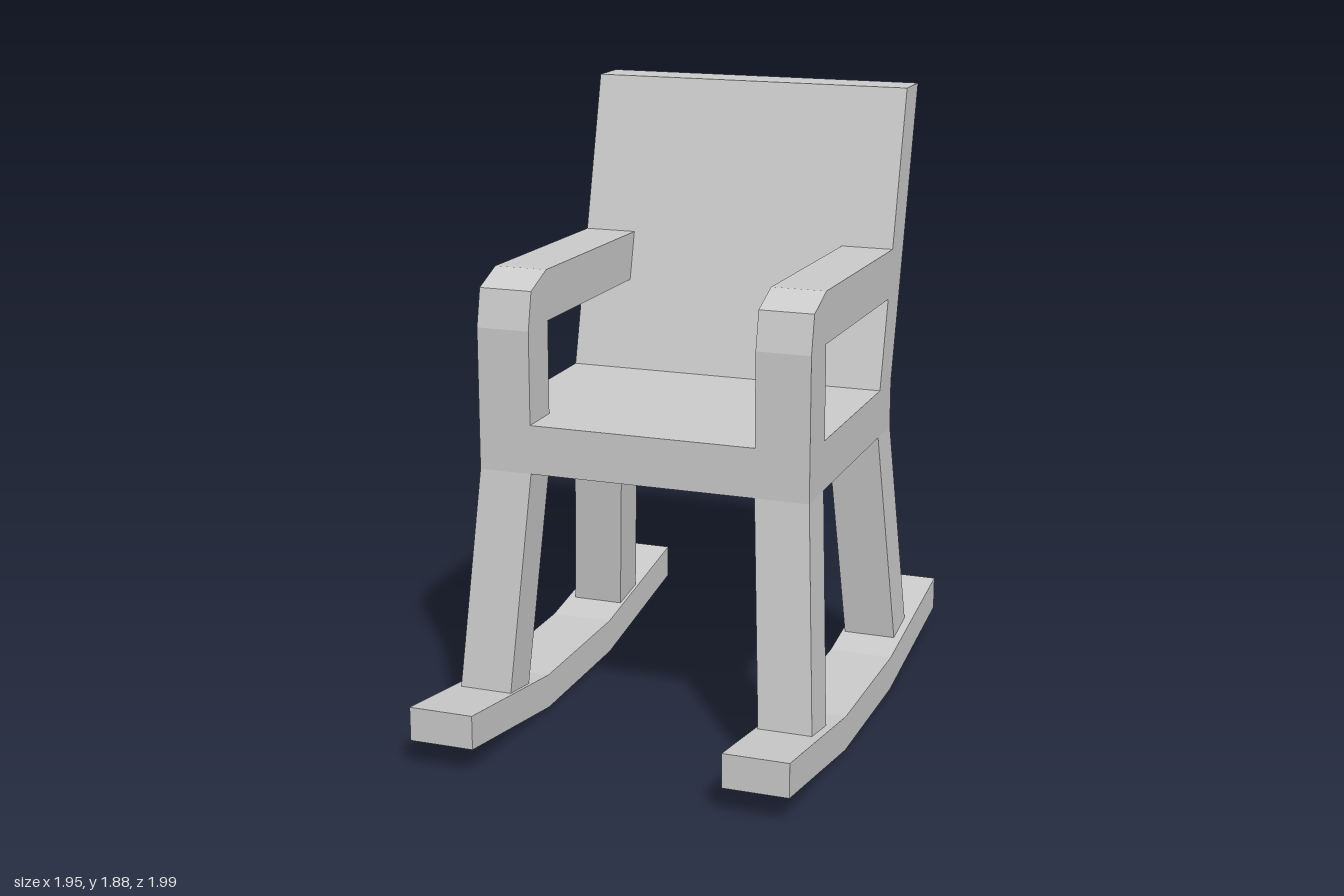
import * as THREE from 'three';

const painted = new THREE.MeshStandardMaterial({ color: 0xcccccc, flatShading: true });
painted.name = 'pale grey';

// Extrudes a side profile of [z, y] points to the given width, centred on x
function slab(name, points, width, x = 0) {
  const shape = new THREE.Shape(points.map(([z, y]) => new THREE.Vector2(z, y)));
  const geometry = new THREE.ExtrudeGeometry(shape, { depth: width, bevelEnabled: false });
  geometry.translate(0, 0, -width / 2).rotateY(-Math.PI / 2).translate(x, 0, 0);
  const mesh = new THREE.Mesh(geometry, painted);
  mesh.name = name;
  return mesh;
}

// Square leg whose foot is shifted outwards and away from the seat centre
function leg(name, side, end) {
  const top = 0.82, foot = 0.12;
  const geometry = new THREE.BoxGeometry(0.165, top - foot, 0.14);
  const p = geometry.attributes.position;
  for (let i = 0; i < p.count; i++) {
    const low = p.getY(i) < 0 ? 1 : 0;
    p.setXYZ(i,
      p.getX(i) + side * (0.4325 + 0.045 * low),
      low ? foot : top,
      p.getZ(i) + end * (0.365 + 0.087 * low));
  }
  geometry.computeVertexNormals();
  const mesh = new THREE.Mesh(geometry, painted);
  mesh.name = name;
  return mesh;
}

export function createModel() {
  const chair = new THREE.Group();
  chair.name = 'rockingChair';

  // Seat and leaning backrest
  chair.add(slab('seat', [[-0.435, 0.82], [0.435, 0.82], [0.435, 0.97], [-0.435, 0.97]], 1.03));
  chair.add(slab('backrest', [[-0.435, 0.97], [-0.305, 0.97], [-0.548, 1.885], [-0.682, 1.885]], 1.03));

  for (const side of [-1, 1]) {
    const label = side > 0 ? 'left' : 'right';

    // Armrest with its front post and chamfered corner
    chair.add(slab(label + 'Armrest', [
      [0.435, 0.97], [0.435, 1.255], [0.41, 1.37], [0.298, 1.413],
      [-0.419, 1.398], [-0.379, 1.247], [0.292, 1.257], [0.292, 0.97],
    ], 0.165, side * 0.4325));

    // Legs
    chair.add(leg(label + 'FrontLeg', side, 1));
    chair.add(leg(label + 'BackLeg', side, -1));

    // Rocker in three straight segments
    chair.add(slab(label + 'Rocker', [
      [-0.812, 0.085], [-0.255, 0], [0.255, 0], [0.812, 0.085],
      [0.812, 0.19], [0.255, 0.108], [-0.255, 0.108], [-0.812, 0.19],
    ], 0.2, side * 0.484));
  }

  // The chair stands turned towards its right
  chair.rotation.y = -0.72;
  const model = new THREE.Group();
  model.name = 'model';
  model.add(chair);
  return model;
}
